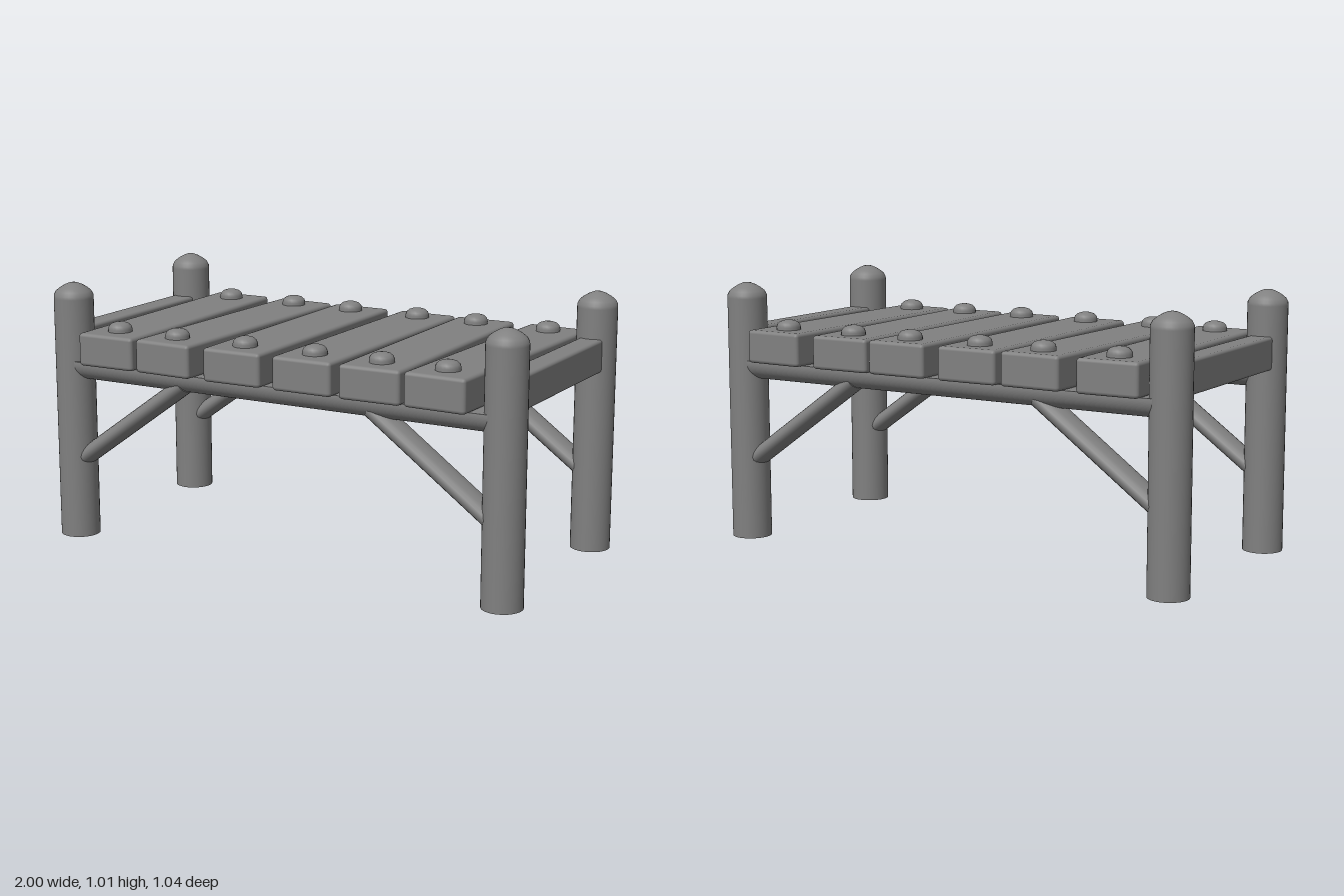
import * as THREE from 'three';
import { RoundedBoxGeometry } from 'three/addons/geometries/RoundedBoxGeometry.js';

const material = new THREE.MeshStandardMaterial({ color: 0x808080, side: THREE.DoubleSide });
const POST_X = 0.922;
const SIDES_Z = [0.405, -0.414];

export function createModel() {
  const model = new THREE.Group();
  model.name = 'plankBridge';

  const add = (name, geometry, x, y, z) => {
    const mesh = new THREE.Mesh(geometry, material);
    mesh.name = name;
    mesh.position.set(x, y, z);
    model.add(mesh);
    return mesh;
  };
  const lathe = (points, segments) =>
    new THREE.LatheGeometry(points.map(([r, y]) => new THREE.Vector2(r, y)), segments);

  // Round posts, hollow below, with softly domed tops
  const postGeometry = lathe([[0.077, 0], [0.077, 0.95], [0.076, 0.962], [0.068, 0.977],
    [0.052, 0.99], [0.033, 1.001], [0.016, 1.008], [0, 1.01]], 32);

  // Long beams: round below, cut flat on top where the planks rest
  const cut = Math.asin(0.01 / 0.065);
  const beamShape = new THREE.Shape().absarc(0, 0, 0.065, Math.PI - cut, 2 * Math.PI + cut, false);
  const beamGeometry = new THREE.ExtrudeGeometry(beamShape,
    { depth: 2 * POST_X, bevelEnabled: false, curveSegments: 24 });
  beamGeometry.translate(0, 0, -POST_X).rotateY(Math.PI / 2);

  // Flattened diagonal braces
  const low = new THREE.Vector2(0.92, 0.29);
  const high = new THREE.Vector2(0.402, 0.664);
  const run = high.clone().sub(low);
  const braceGeometry = new THREE.CylinderGeometry(0.035, 0.035, run.length(), 20);
  braceGeometry.scale(1, 1, 1.6);

  for (const z of SIDES_Z) {
    add('beam', beamGeometry, 0, 0.7, z);
    for (const s of [1, -1]) {
      add('post', postGeometry, s * POST_X, 0, z);
      const brace = add('brace', braceGeometry, s * (low.x + high.x) / 2, (low.y + high.y) / 2, z);
      brace.rotation.z = -s * Math.atan2(run.x, run.y);
    }
  }

  // Cross rails joining the posts at each end
  const railGeometry = new RoundedBoxGeometry(0.094, 0.128, 0.82, 2, 0.012);
  for (const s of [1, -1]) add('endRail', railGeometry, s * POST_X, 0.773, -0.005);

  // Deck planks, each slightly skewed: [x at back, x at front]
  const planks = [[-0.722, -0.702], [-0.411, -0.443], [-0.148, -0.137],
    [0.157, 0.16], [0.413, 0.437], [0.725, 0.694]];
  const plankGeometry = new RoundedBoxGeometry(0.243, 0.128, 1.03, 2, 0.014);
  const pegGeometry = lathe([[0.046, -0.02], [0.047, 0.012], [0.043, 0.024],
    [0.033, 0.033], [0.018, 0.038], [0, 0.04]], 20);
  for (const [back, front] of planks) {
    const plank = add('plank', plankGeometry, (back + front) / 2, 0.773, -0.002);
    plank.rotation.y = Math.atan2(front - back, 1.03);
    // Domed pegs above the beams
    for (const z of SIDES_Z) {
      const t = (z + 0.517) / 1.03;
      add('peg', pegGeometry, back + (front - back) * t, 0.835, z);
    }
  }
  return model;
}
